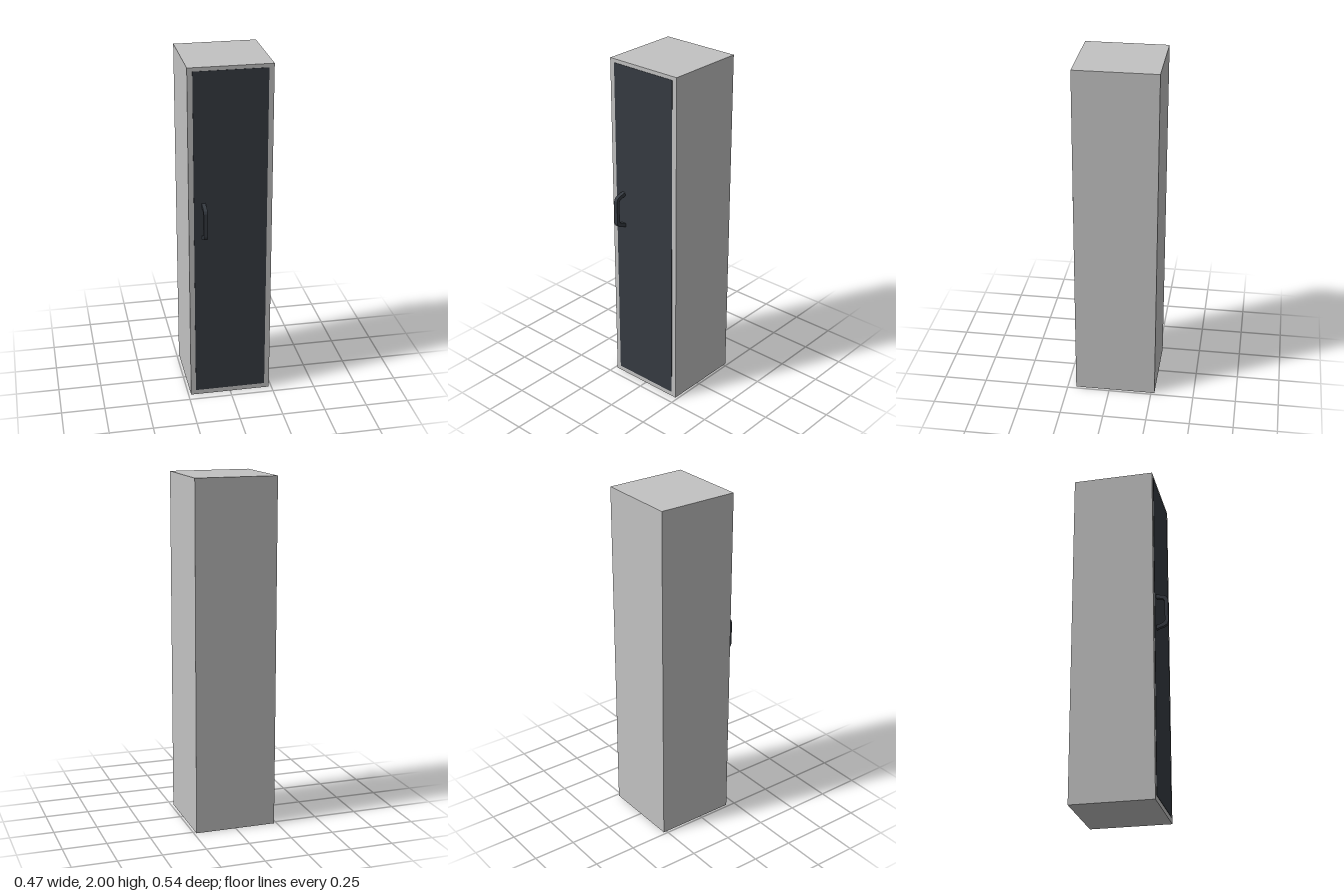
import * as THREE from 'three';

export function createModel() {
  const group = new THREE.Group();
  const grey = new THREE.MeshStandardMaterial({ color: 0xc2c2c2 });
  grey.name = 'lightGrey';
  const dark = new THREE.MeshStandardMaterial({ color: 0x363b42 });
  dark.name = 'darkSlate';

  const add = (name, geometry, material, x, y, z) => {
    const mesh = new THREE.Mesh(geometry, material);
    mesh.name = name;
    mesh.position.set(x, y, z);
    group.add(mesh);
  };

  // Cabinet body and its thin door panel
  add('cabinet', new THREE.BoxGeometry(0.47, 2, 0.47), grey, 0, 1, -0.035);
  add('door', new THREE.BoxGeometry(0.412, 1.95, 0.004), dark, 0, 1.004, 0.2);

  // Bracket handle: (z, y) outline, extruded across its width
  const outline = [
    [0.2, 1.228], [0.25, 1.216], [0.264, 1.206], [0.27, 1.19],
    [0.27, 1.052], [0.264, 1.038], [0.252, 1.028], [0.2, 1.01],
    [0.2, 1.032], [0.242, 1.048], [0.25, 1.06],
    [0.25, 1.182], [0.242, 1.196], [0.2, 1.206],
  ].map(([z, y]) => new THREE.Vector2(z, y));
  const handle = new THREE.ExtrudeGeometry(new THREE.Shape(outline), { depth: 0.022, bevelEnabled: false });
  handle.rotateY(-Math.PI / 2);
  add('handle', handle, dark, -0.141, 0, 0);

  return group;
}
